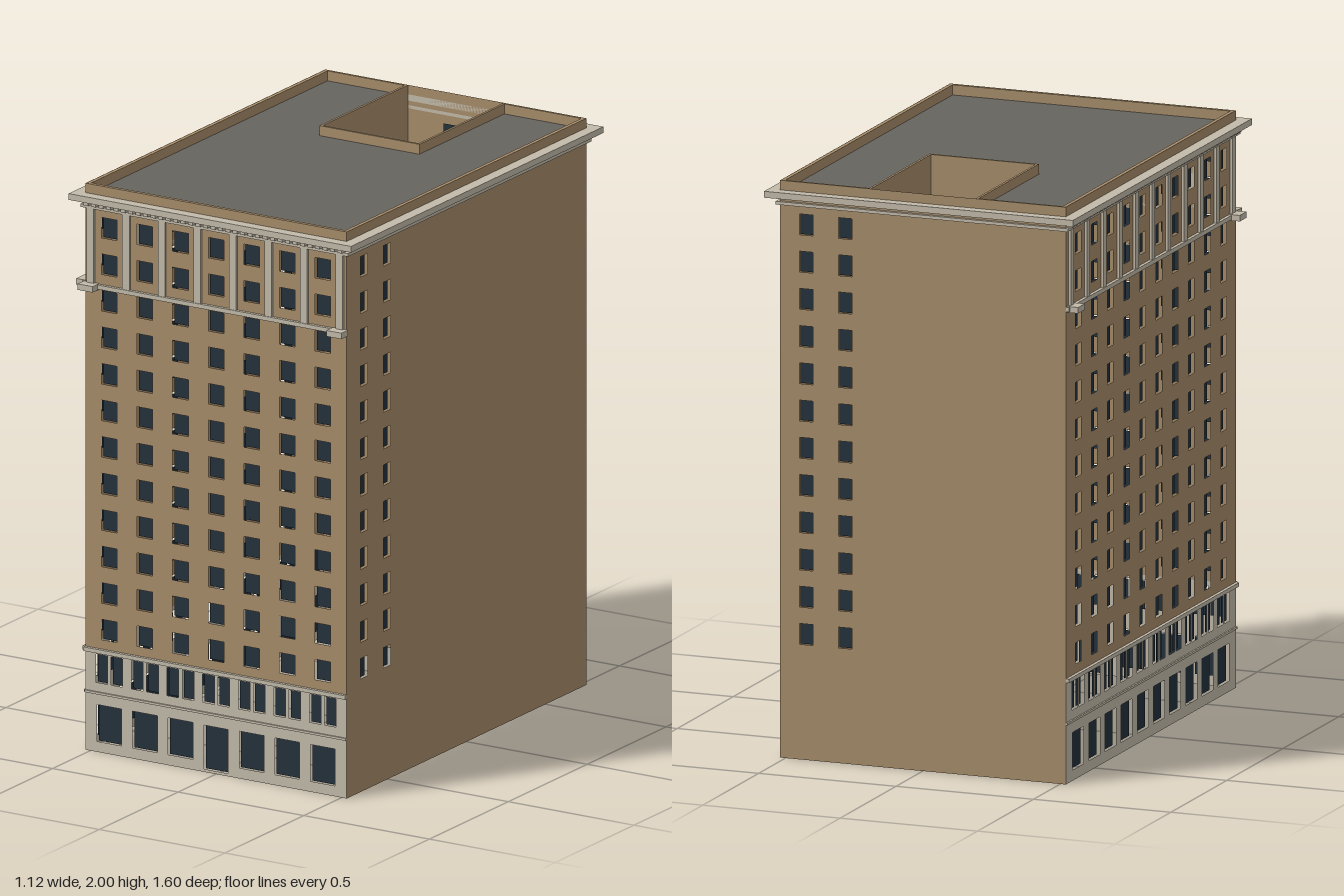
import * as THREE from 'three';
import { mergeGeometries } from 'three/addons/utils/BufferGeometryUtils.js';

const W = 1.04, D = 1.52, H = 2, BASE = 0.36, ROOF = 1.965;
const COURT_X = 0.19, COURT_Z = -0.22, COURT_FLOOR = 0.345;
const ROWS = Array.from({ length: 12 }, (_, i) => 0.435 + i * 0.129);

const mat = (name, color, side = THREE.FrontSide) => {
  const m = new THREE.MeshStandardMaterial({ color, side });
  m.name = name;
  return m;
};

export function createModel() {
  const brick = mat('tan brick', 0xa68c69, THREE.DoubleSide);
  const stone = mat('pale stone', 0xc2baa9, THREE.DoubleSide);
  const glass = mat('dark glass', 0x22303a, THREE.DoubleSide);
  const gravel = mat('roof grey', 0x66645e, THREE.DoubleSide);
  const building = new THREE.Group();
  building.name = 'building';

  const add = (parent, name, geo, material) => {
    const m = new THREE.Mesh(geo, material);
    m.name = name;
    parent.add(m);
    return m;
  };
  // box given by its minimum and maximum on each axis
  const box = (x0, x1, y0, y1, z0, z1) =>
    new THREE.BoxGeometry(x1 - x0, y1 - y0, z1 - z0)
      .translate((x0 + x1) / 2, (y0 + y1) / 2, (z0 + z1) / 2);
  const rectPoints = (x0, x1, y0, y1) =>
    [[x0, y0], [x1, y0], [x1, y1], [x0, y1]].map(p => new THREE.Vector2(...p));

  // flat wall with window openings and panes set back behind them
  // each opening is [centre, bottom, width, height]
  function wall(parent, name, width, y0, y1, openings, material) {
    const shape = new THREE.Shape(rectPoints(-width / 2, width / 2, y0, y1));
    const panes = [];
    for (const [u, y, w, h] of openings) {
      shape.holes.push(new THREE.Path(rectPoints(u - w / 2, u + w / 2, y, y + h)));
      panes.push(new THREE.PlaneGeometry(w, h).translate(u, y + h / 2, -0.012));
    }
    add(parent, name, new THREE.ShapeGeometry(shape), material);
    if (panes.length) add(parent, name + 'Windows', mergeGeometries(panes), glass);
  }
  const windowGrid = (cols, w) =>
    cols.flatMap(u => ROWS.map(y => [u, y - 0.036, w, 0.072]));

  function side(name, angle, x, z) {
    const g = new THREE.Group();
    g.name = name;
    g.rotation.y = angle;
    g.position.set(x, 0, z);
    building.add(g);
    return g;
  }

  // street front: stone base, window grid, pilasters, ledges and dentils
  function streetFront(g, width, n, pitch, winW, hasDoor) {
    const cols = Array.from({ length: n }, (_, i) => (i - (n - 1) / 2) * pitch);
    const half = width / 2;
    wall(g, 'upperWall', width, BASE, H, windowGrid(cols, winW), brick);

    const openings = cols.flatMap(u => {
      const door = hasDoor && Math.abs(u) < 0.01;
      return [
        door ? [u, 0.01, 0.094, 0.155] : [u, 0.037, 0.098, 0.13],
        [u - 0.03, 0.245, 0.046, 0.1],
        [u + 0.03, 0.245, 0.046, 0.1],
      ];
    });
    wall(g, 'baseWall', width, 0, BASE, openings, stone);

    add(g, 'baseLedges', mergeGeometries([
      box(-half, half, 0.352, 0.366, 0, 0.012),
      box(-half, half, 0.205, 0.213, 0, 0.006),
    ]), stone);

    // pilasters between the top two rows of windows
    const pilasters = [];
    for (let i = 0; i <= n; i++) {
      const u = (i - n / 2) * pitch;
      pilasters.push(box(u - 0.014, u + 0.014, 1.65, 1.925, 0, 0.009));
    }
    add(g, 'pilasters', mergeGeometries(pilasters), stone);

    const end = n / 2 * pitch;
    add(g, 'upperLedge', mergeGeometries([
      box(-half, half, 1.638, 1.653, 0, 0.012),
      box(-end - 0.03, -end + 0.03, 1.634, 1.655, 0, 0.042),
      box(end - 0.03, end + 0.03, 1.634, 1.655, 0, 0.042),
    ]), stone);

    const dentils = [];
    const count = Math.round(width / 0.03);
    for (let i = 0; i < count; i++) {
      const u = -half + (i + 0.5) * width / count;
      dentils.push(box(u - 0.009, u + 0.009, 1.929, 1.945, 0, 0.022));
    }
    add(g, 'dentils', mergeGeometries(dentils), stone);
  }

  streetFront(side('frontSide', 0, 0, D / 2), W, 7, 0.1415, 0.062, true);
  streetFront(side('leftStreetSide', -Math.PI / 2, -W / 2, 0), D, 10, 0.1445, 0.05, false);

  // plain walls with two window columns each
  wall(side('plainSide', Math.PI / 2, W / 2, 0), 'plainWall', D, 0, H,
    windowGrid([-0.65, -0.505], 0.046), brick);
  const back = side('backSide', Math.PI, 0, -D / 2);
  wall(back, 'backWall', W, 0, H, windowGrid([-0.425, -0.283], 0.05), brick);

  // cornice rings around the whole building
  function ring(name, outX, outZ, inX, inZ, y0, y1, material) {
    const s = new THREE.Shape(rectPoints(-outX, outX, -outZ, outZ));
    s.holes.push(new THREE.Path(rectPoints(-inX, inX, -inZ, inZ)));
    const geo = new THREE.ExtrudeGeometry(s, { depth: y1 - y0, bevelEnabled: false })
      .rotateX(-Math.PI / 2).translate(0, y0, 0);
    add(building, name, geo, material);
  }
  const hx = W / 2, hz = D / 2;
  ring('corniceBand', hx + 0.012, hz + 0.012, hx, hz, 1.918, 1.929, stone);
  ring('corniceCap', hx + 0.042, hz + 0.04, hx, hz, 1.945, 1.967, stone);

  // flat roof with the light court cut out of its back edge
  const roof = new THREE.Shape([
    [-hx, -hz], [hx, -hz], [hx, hz], [COURT_X, hz], [COURT_X, -COURT_Z],
    [-COURT_X, -COURT_Z], [-COURT_X, hz], [-hx, hz],
  ].map(p => new THREE.Vector2(...p)));
  add(building, 'roof', new THREE.ShapeGeometry(roof).rotateX(-Math.PI / 2).translate(0, ROOF, 0), gravel);

  // parapet around the roof, open behind the court
  const t = 0.015;
  add(building, 'parapet', mergeGeometries([
    box(-hx + 0.001, hx - 0.001, ROOF, H, hz - t, hz - 0.001),
    ...[-1, 1].flatMap(s => {
      const span = (a, b, z0, z1) => box(Math.min(s * a, s * b), Math.max(s * a, s * b), ROOF, H, z0, z1);
      return [
        span(hx - t, hx - 0.001, -hz + 0.001, hz - t),
        span(COURT_X, hx - t, -hz + 0.001, -hz + 0.01),
        span(COURT_X, COURT_X + 0.009, -hz + 0.01, COURT_Z + 0.009),
      ];
    }),
    box(-COURT_X, COURT_X, ROOF, H, COURT_Z, COURT_Z + 0.009),
  ]), brick);

  // light court: walls, floor and a column of windows looking into it
  const courtH = ROOF - COURT_FLOOR, courtD = COURT_Z + hz;
  const midY = (ROOF + COURT_FLOOR) / 2, midZ = (COURT_Z - hz) / 2;
  add(building, 'courtWalls', mergeGeometries([
    new THREE.PlaneGeometry(COURT_X * 2, courtH).rotateY(Math.PI).translate(0, midY, COURT_Z),
    new THREE.PlaneGeometry(courtD, courtH).rotateY(Math.PI / 2).translate(-COURT_X, midY, midZ),
    new THREE.PlaneGeometry(courtD, courtH).rotateY(-Math.PI / 2).translate(COURT_X, midY, midZ),
  ]), brick);
  add(building, 'courtFloor', new THREE.PlaneGeometry(COURT_X * 2, courtD)
    .rotateX(-Math.PI / 2).translate(0, COURT_FLOOR, midZ), gravel);
  add(building, 'courtWindows', mergeGeometries(ROWS.map(y =>
    new THREE.PlaneGeometry(0.05, 0.072).translate(-0.02, y, -hz + 0.006))), glass);

  return building;
}
